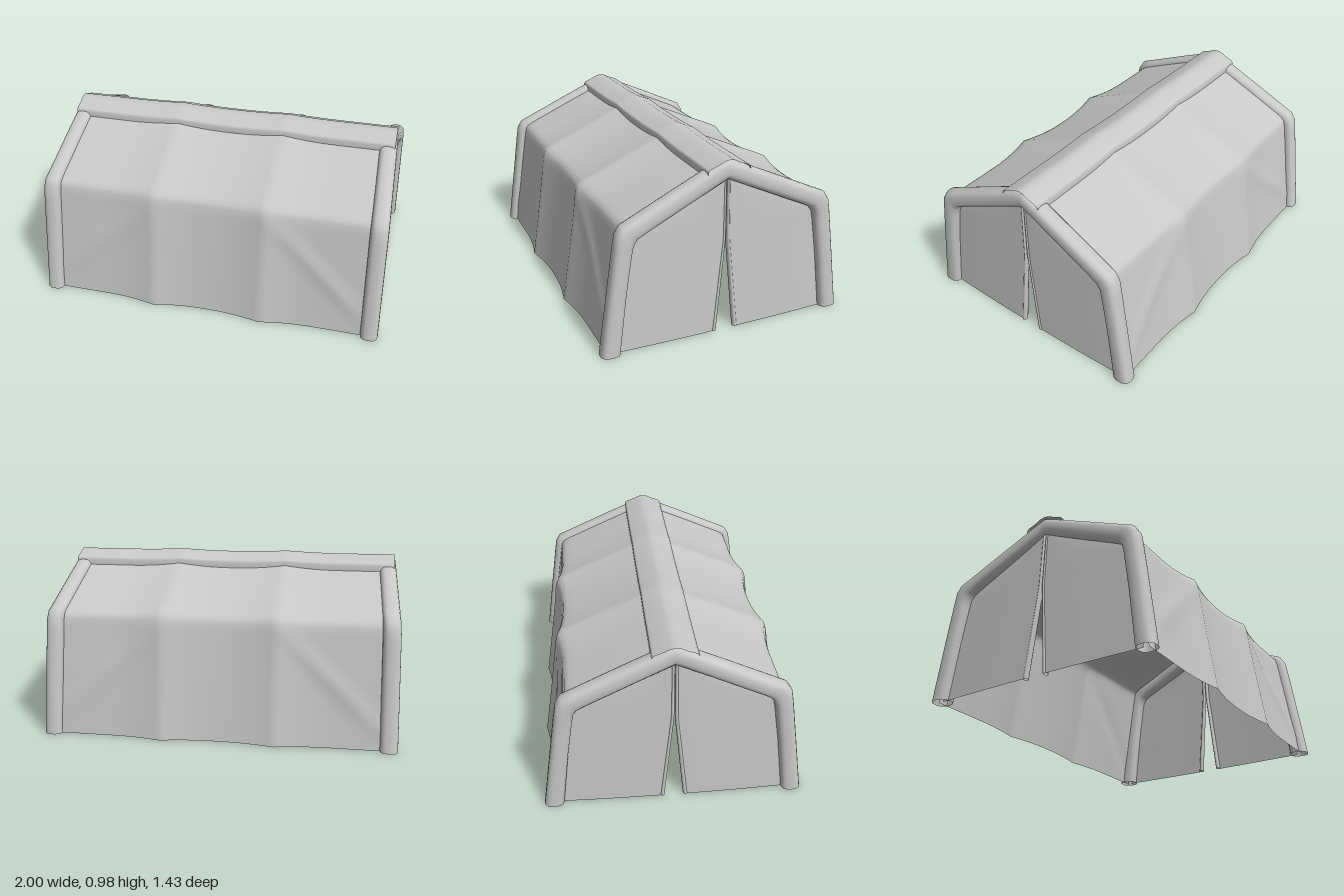
import * as THREE from 'three';

const BASE = 0.006;
const SEAM = 0.32;
const canvas = new THREE.MeshStandardMaterial({ color: 0xc8c8c8, side: THREE.DoubleSide });
canvas.name = 'greyCanvas';

// Skin a list of cross-sections (arrays of [x, y, z]).
function loft(name, rings, closed = false) {
  const n = rings[0].length, idx = [];
  for (let i = 0; i < rings.length - 1; i++) {
    for (let j = 0; j < (closed ? n : n - 1); j++) {
      const a = i * n + j, b = i * n + (j + 1) % n;
      idx.push(a, b, a + n, b, b + n, a + n);
    }
  }
  const g = new THREE.BufferGeometry();
  g.setAttribute('position', new THREE.Float32BufferAttribute(rings.flat(2), 3));
  g.setIndex(idx);
  g.computeVertexNormals();
  const mesh = new THREE.Mesh(g, canvas);
  mesh.name = name;
  return mesh;
}

// Piecewise-linear lookup through rows of numbers keyed by their first entry.
function sample(rows, t) {
  let i = 0;
  while (i < rows.length - 2 && t > rows[i + 1][0]) i++;
  const k = (t - rows[i][0]) / (rows[i + 1][0] - rows[i][0]);
  return rows[i].map((v, c) => v + (rows[i + 1][c] - v) * k);
}

// Cloth slack: zero on the two seams, full in the middle of each bay and at the ends.
function slack(x) {
  const t = Math.min(1, Math.abs(Math.abs(x) - SEAM) / 0.3);
  return t * (2 - t);
}

// Walls and roof in one draped sheet. Rows: t, z, y, inward z, inward y
const SKIN = [
  [0, 0.71, BASE, -0.035, 0],
  [0.5, 0.655, 0.36, -0.032, 0],
  [0.94, 0.612, 0.665, -0.035, -0.012],
  [1, 0.595, 0.705, -0.03, -0.022],
  [1.07, 0.55, 0.728, -0.015, -0.024],
  [1.5, 0.29, 0.842, 0, -0.025],
  [2, 0, 0.968, 0, -0.02],
];
function skinPoint(x, t, side) {
  const [, z, y, dz, dy] = sample(SKIN, t);
  const s = slack(x);
  // soft diagonal folds falling from the seams across the end bays
  const line = (Math.abs(x) - SEAM) - (0.68 - y);
  const out = Math.abs(x) > SEAM && t < 1
    ? 0.01 * Math.exp(-((line / 0.07) ** 2)) * Math.sin(Math.PI * t) : 0;
  return [x, y + dy * s, side * (z + dz * s + out)];
}
function makeSkin() {
  const rings = [];
  for (let i = 0; i <= 60; i++) {
    const x = -0.96 + i * 0.032, ring = [];
    for (let j = 0; j <= 80; j++) {
      const t = j / 20;
      ring.push(t <= 2 ? skinPoint(x, t, 1) : skinPoint(x, 4 - t, -1));
    }
    rings.push(ring);
  }
  return loft('wallsAndRoof', rings);
}

// Padded end arch, hollow at the feet. Rows: outer z, outer y, inner z, inner y
const ARCH = [
  [0.713, BASE, 0.605, BASE],
  [0.662, 0.36, 0.565, 0.34],
  [0.627, 0.6, 0.532, 0.56],
  [0.615, 0.67, 0.522, 0.605],
  [0.588, 0.712, 0.5, 0.635],
  [0.53, 0.738, 0.45, 0.66],
  [0.28, 0.853, 0.24, 0.757],
  [0.05, 0.956, 0.04, 0.85],
  [0, 0.975, 0, 0.868],
];
const archX = (y) => (y < 0.7 ? 0.948 - 0.008 * y / 0.7 : 0.94 - 0.022 * (y - 0.7) / 0.28);
function makeArch(end) {
  const mirrored = ARCH.slice(0, -1).reverse().map(([a, b, c, d]) => [-a, b, -c, d]);
  const rings = [...ARCH, ...mirrored].map(([oz, oy, iz, iy]) => {
    const ring = [];
    for (let k = 0; k < 20; k++) {
      const a = (k / 20) * Math.PI * 2, c = Math.cos(a), s = Math.sin(a);
      const f = 0.5 + 0.5 * Math.sign(c) * Math.abs(c) ** 0.75;
      const w = 0.05 * Math.sign(s) * Math.abs(s) ** 0.75;
      ring.push([end * (archX(oy) + w), iy + (oy - iy) * f, iz + (oz - iz) * f]);
    }
    return ring;
  });
  return loft('endArch', rings, true);
}

// Raised strip along the ridge, sagging slightly between the seams
function makeRidgeCap() {
  const half = [[0.12, 0.9], [0.121, 0.935], [0.112, 0.948], [0.06, 0.967], [0.03, 0.982]];
  const section = [...half, [0, 0.988], ...half.map(([z, y]) => [-z, y]).reverse()];
  const rings = [];
  for (let i = 0; i <= 60; i++) {
    const x = -0.96 + i * 0.032;
    rings.push(section.map(([z, y]) => [x, y - 0.01 * slack(x), z]));
  }
  return loft('ridgeCap', rings);
}

// End curtains, nearly flush with the arch: a sheet on each side of the slit, with a folded hem
const slit = (y) => 0.001 + 0.051 * Math.max(0, 1 - y / 0.54);
const curtainX = (y) => 0.968 - 0.03 * y;
function makeCurtain(end, side) {
  const group = new THREE.Group();
  group.name = 'doorCurtain';
  const rows = [], hem = [];
  for (let i = 0; i <= 24; i++) {
    const y = BASE + (0.885 - BASE) * i / 24;
    const edge = y < 0.64 ? 0.645 - 0.12 * y : Math.max(0.03, 0.568 * (0.915 - y) / 0.275);
    const r = 0.013 - 0.005 * y, z0 = slit(y) + r, row = [];
    for (let j = 0; j <= 12; j++) {
      const u = j / 12;
      row.push([end * (curtainX(y) - 0.012 * u * u), y, side * (z0 + (edge - z0) * u)]);
    }
    rows.push(row);
    const ring = [];
    for (let k = 0; k < 12; k++) {
      const a = (k / 12) * Math.PI * 2;
      ring.push([end * (curtainX(y) - 0.012 + 0.018 * Math.sin(a)), y,
        side * (z0 + r * Math.cos(a))]);
    }
    hem.push(ring);
  }
  group.add(loft('curtainSheet', rows), loft('curtainHem', hem, true));
  return group;
}

export function createModel() {
  const tent = new THREE.Group();
  tent.name = 'tent';
  tent.add(makeSkin(), makeRidgeCap());
  for (const end of [1, -1]) {
    tent.add(makeArch(end));
    for (const side of [1, -1]) tent.add(makeCurtain(end, side));
  }
  return tent;
}
